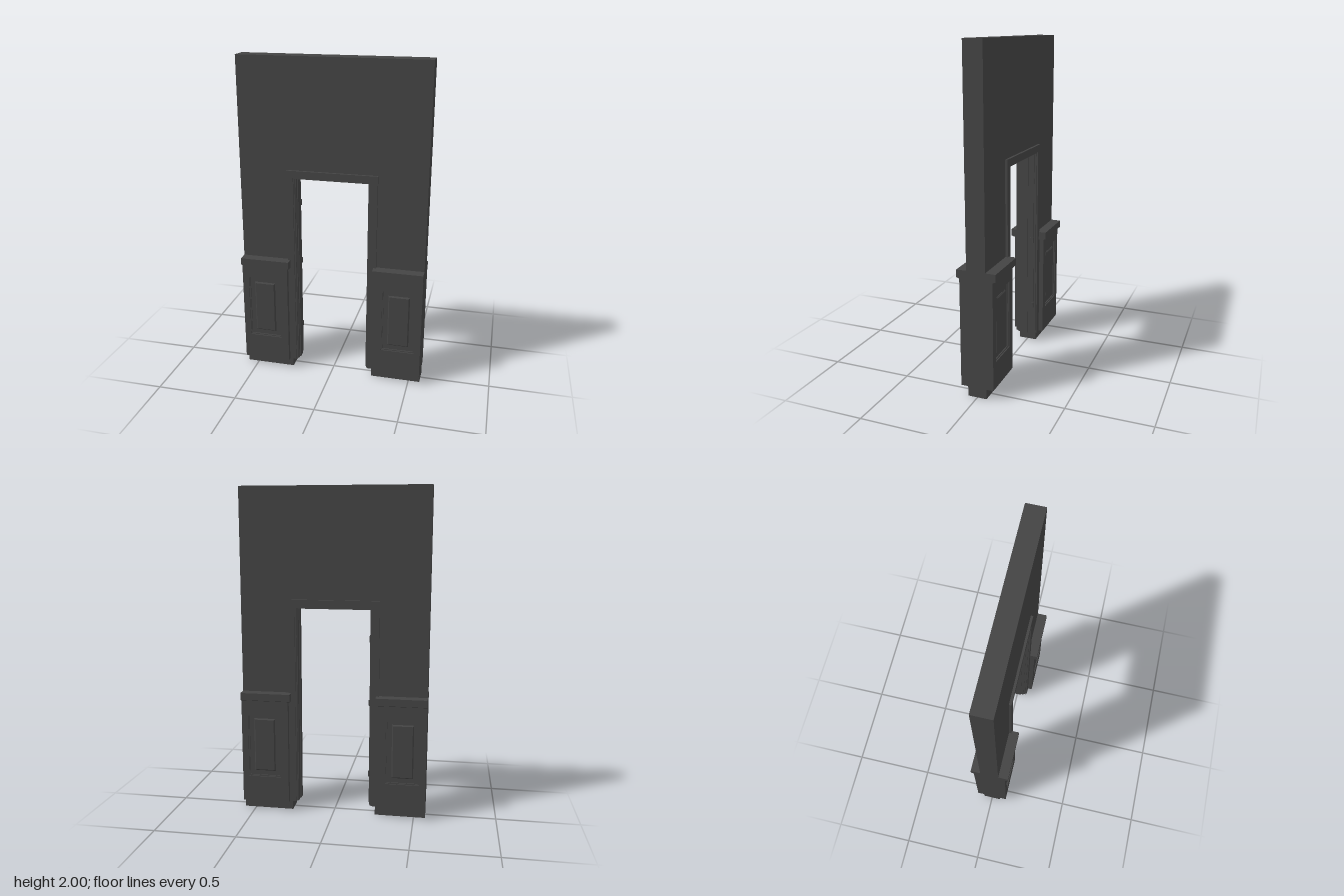
import * as THREE from 'three';

const W = 0.57, T = 0.057; // half width and half thickness of the wall
const BASE = 0.06;         // height where the trim begins

const material = new THREE.MeshStandardMaterial({ color: 0x444444, flatShading: true });

function add(parent, name, geometry, x = 0, y = 0, z = 0) {
  const mesh = new THREE.Mesh(geometry, material);
  mesh.name = name;
  mesh.position.set(x, y, z);
  parent.add(mesh);
  return mesh;
}

function polygon(points) {
  return new THREE.Shape(points.map(([x, y]) => new THREE.Vector2(x, y)));
}

function rect(w, h) {
  return polygon([[-w / 2, -h / 2], [w / 2, -h / 2], [w / 2, h / 2], [-w / 2, h / 2]]);
}

// Upside-down U around the doorway, running from z0 to z1
function arch(outer, outerTop, inner, innerTop, bottom, z0, z1) {
  const shape = polygon([
    [-outer, bottom], [-inner, bottom], [-inner, innerTop], [inner, innerTop],
    [inner, bottom], [outer, bottom], [outer, outerTop], [-outer, outerTop],
  ]);
  const g = new THREE.ExtrudeGeometry(shape, { depth: z1 - z0, bevelEnabled: false });
  return g.translate(0, 0, z0);
}

// Rectangular ring, w by h outside, iw by ih inside
function ring(w, h, iw, ih, depth, dx = 0, dy = 0) {
  const shape = rect(w, h);
  shape.holes.push(new THREE.Path(rect(iw, ih).getPoints().map((p) => p.add(new THREE.Vector2(dx, dy)))));
  return new THREE.ExtrudeGeometry(shape, { depth, bevelEnabled: false });
}

// Wainscot and casing of one face of the wall
function createFace() {
  const face = new THREE.Group();
  const x0 = 0.277, h = 0.65, w = W - x0;
  const cy = BASE + h / 2, cx = (x0 + W) / 2;
  const panelY = 0.427;

  for (const s of [-1, 1]) {
    const pier = new THREE.Group();
    pier.name = s < 0 ? 'rightWainscot' : 'leftWainscot';
    face.add(pier);

    // Backing board, and the frame around the sunken panel
    add(pier, 'panelBacking', new THREE.BoxGeometry(w, h, 0.029), s * cx, cy, T + 0.0145);
    add(pier, 'panelFrame', ring(w, h, 0.205, 0.41, 0.014, s * (0.428 - cx), panelY - cy), s * cx, cy, 0.086);
    // Thin inner step of the frame
    add(pier, 'panelMoulding', ring(0.205, 0.41, 0.19, 0.395, 0.007), s * 0.428, panelY, 0.086);

    // Raised centre field with sloped edges
    const field = new THREE.ExtrudeGeometry(rect(0.118, 0.322), {
      depth: 0.002, bevelThickness: 0.007, bevelSize: 0.007, bevelSegments: 1,
    });
    add(pier, 'raisedField', field, s * 0.428, panelY, 0.086);

    // Chair rail, chamfered underneath
    const profile = polygon([
      [0, 0.71], [0.102, 0.71], [0.118, 0.716], [0.118, 0.76], [0, 0.762],
    ].map(([z, y]) => [-z, y]).reverse());
    const rail = new THREE.ExtrudeGeometry(profile, { depth: W - 0.262, bevelEnabled: false });
    rail.rotateY(Math.PI / 2);
    add(pier, 'chairRail', rail, s > 0 ? 0.262 : -W);
  }

  // Flat casing with a lower inner bead
  add(face, 'casing', arch(0.278, 1.335, 0.235, 1.292, BASE, T - 0.01, 0.072));
  add(face, 'casingBead', arch(0.24, 1.297, 0.227, 1.284, BASE, 0.03, 0.063));
  return face;
}

export function createModel() {
  const model = new THREE.Group();
  model.name = 'doorwayWall';

  // Wall with its doorway
  add(model, 'wall', arch(W, 2, 0.26, 1.31, 0, -T, T));

  // The same trim on both faces
  const front = createFace();
  front.name = 'frontTrim';
  const back = createFace();
  back.name = 'backTrim';
  back.rotation.y = Math.PI;
  model.add(front, back);

  // Jamb lining and door stop inside the opening
  add(model, 'jamb', arch(0.265, 1.315, 0.222, 1.282, BASE, -0.05, 0.05));
  add(model, 'doorStop', arch(0.23, 1.29, 0.216, 1.275, BASE, -0.012, 0.03));

  // Three hinges on one jamb
  for (const y of [0.265, 0.715, 1.105]) {
    const hinge = new THREE.Group();
    hinge.name = 'hinge';
    model.add(hinge);
    add(hinge, 'hingeLeaf', new THREE.BoxGeometry(0.004, 0.034, 0.022), -0.2215, y, -0.038);
    add(hinge, 'hingePin', new THREE.CylinderGeometry(0.004, 0.004, 0.036, 8), -0.219, y, -0.05);
  }
  return model;
}
